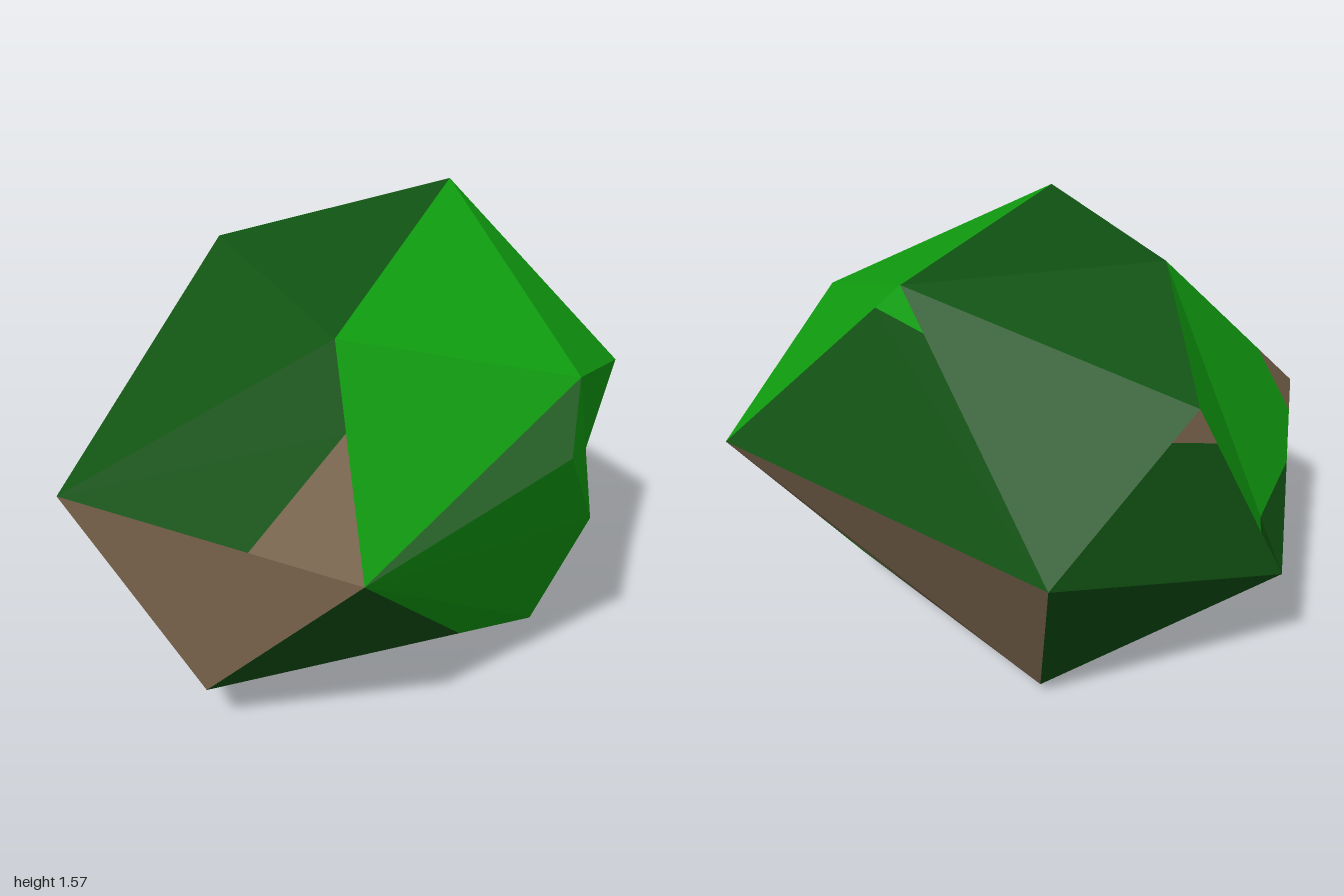
import * as THREE from 'three';

const mat = (name, color) => {
  const m = new THREE.MeshStandardMaterial({ color });
  m.name = name;
  return m;
};

// Main corners of the boulder, roughly a distorted icosahedron
const P = {
  A: [-0.02, 0.81, 0.99], B: [0.36, 1.57, -0.47], C: [-0.09, 1.44, 0.65], D: [0.70, 1.17, 0.37],
  E: [0.98, 0.92, -0.31], F: [-0.99, 0.78, 0.37], G: [-0.45, 1.49, -0.12], H: [-0.08, 0.85, -1.0],
  I: [-0.52, 0.18, 0.63], J: [0.63, 0.11, 0.17], K: [-0.33, 0, -0.21], L: [-0.06, 0.06, -0.52],
  M: [-0.86, 0.52, -0.48], P: [-0.53, 1.23, -0.60], N: [0.63, 1.03, 0.65], O: [0.77, 0.65, 0.37],
};
for (const k in P) P[k] = new THREE.Vector3(...P[k]);

// Points along edges where one colour gives way to another
const cuts = {
  R1: ['F', 'A', 0.65], R2: ['C', 'A', 0.38], Q1: ['G', 'F', 0.71], Q2: ['F', 'M', 0.175],
  Q3: ['F', 'M', 0.45], Q4: ['P', 'M', 0.72], W: ['G', 'M', 0.81], S: ['I', 'J', 0.765],
  X: ['B', 'E', 0.13], Y: ['B', 'H', 0.16], U: ['P', 'H', 0.19], V: ['P', 'M', 0.19],
  T: ['J', 'L', 0.3], Z: ['E', 'J', 0.56],
};
for (const k in cuts) {
  const [a, b, t] = cuts[k];
  P[k] = P[a].clone().lerp(P[b], t);
}

const center = new THREE.Vector3(0, 0.78, 0);

// Flat facets from lists of convex polygons, each turned to face outward
function facets(name, material, polygons) {
  const positions = [];
  for (const polygon of polygons) {
    const pts = polygon.split(' ').map((k) => P[k]);
    for (let i = 1; i < pts.length - 1; i++) {
      const tri = [pts[0], pts[i], pts[i + 1]];
      const n = new THREE.Triangle(...tri).getNormal(new THREE.Vector3());
      if (n.dot(pts[0].clone().sub(center)) < 0) tri.reverse();
      tri.forEach((p) => positions.push(p.x, p.y, p.z));
    }
  }
  const g = new THREE.BufferGeometry();
  g.setAttribute('position', new THREE.Float32BufferAttribute(positions, 3));
  g.computeVertexNormals();
  const mesh = new THREE.Mesh(g, material);
  mesh.name = name;
  return mesh;
}

export function createModel() {
  const group = new THREE.Group();
  group.name = 'mossyBoulder';

  group.add(
    // Bright moss: front right, bulging right side, patch on the left
    facets('brightMoss', mat('bright green', 0x11a411), [
      'A C D', 'C D B', 'D E B', 'D J E', 'D O J', 'D N O', 'A N O', 'A O J', 'A S J',
      'G Q1 Q2 Q3 W', 'G W Q4 P', 'B X Y', 'J T Z',
    ]),
    // Dark moss: top, back and underside
    facets('darkMoss', mat('dark green', 0x115413), [
      'A D N', 'F R1 R2 C', 'F C G', 'B C G', 'B G P', 'B P H', 'X E H Y', 'U H M V',
      'Q3 M W', 'W M Q4', 'Q2 M I', 'H M L', 'M I K', 'M K L', 'A I S', 'I J K', 'J T K',
    ]),
    // Bare stone: back right, front left and small gaps
    facets('bareStone', mat('brown', 0x7a654c), [
      'A F I', 'R1 A R2', 'F Q1 Q2', 'F Q2 I', 'P U V', 'E H L', 'E Z T L', 'T L K',
    ]),
  );
  return group;
}
